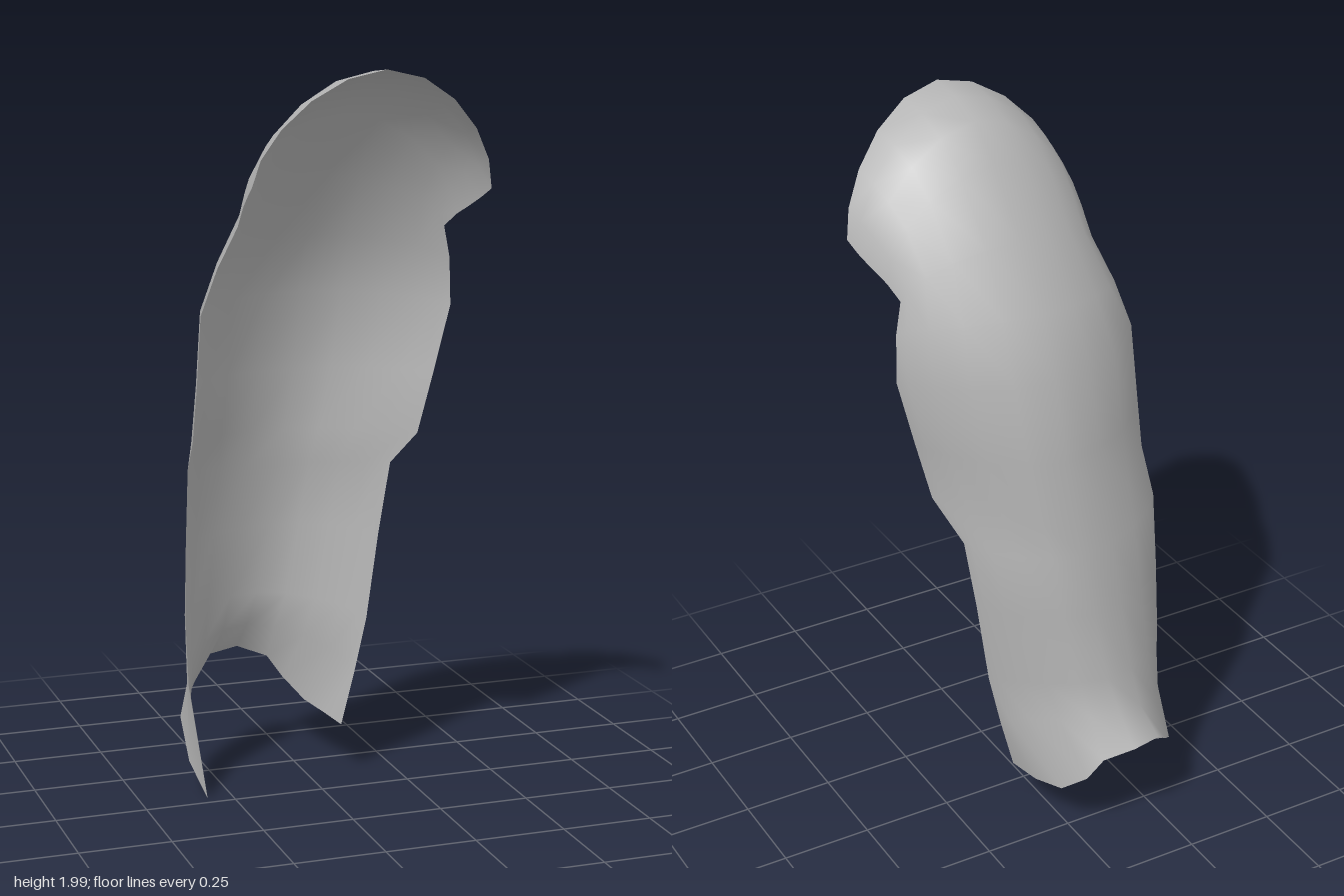
import * as THREE from 'three';

const SIDE = 5; // segments from the spine to each edge

// Rows from the hood rim down: right (-x) edge, spine, left (+x) edge
const ROWS = [
  [[-0.29, 1.71, 0.305], [0.03, 2.0, 0.4], [0.37, 1.68, 0.26]],
  [[-0.285, 1.68, 0.25], [0.03, 1.99, 0.3], [0.36, 1.655, 0.22]],
  [[-0.28, 1.65, 0.2], [0.02, 1.95, 0.21], [0.345, 1.63, 0.18]],
  [[-0.275, 1.62, 0.16], [0.02, 1.87, 0.12], [0.325, 1.6, 0.13]],
  [[-0.27, 1.59, 0.12], [0.01, 1.7, 0.0], [0.31, 1.565, 0.085]],
  [[-0.32, 1.48, 0.1], [0.0, 1.53, -0.1], [0.33, 1.48, 0.075]],
  [[-0.362, 1.36, 0.09], [0.0, 1.37, -0.17], [0.34, 1.35, 0.06]],
  [[-0.365, 1.17, 0.06], [-0.01, 1.15, -0.21], [0.3, 1.17, 0.045]],
  [[-0.375, 1.02, 0.05], [-0.03, 0.98, -0.23], [0.26, 1.0, 0.03]],
  [[-0.355, 0.92, -0.07], [-0.04, 0.88, -0.247], [0.22, 0.9, -0.07]],
  [[-0.36, 0.7, -0.08], [-0.06, 0.7, -0.275], [0.19, 0.7, -0.08]],
  [[-0.36, 0.5, -0.09], [-0.09, 0.5, -0.3], [0.16, 0.46, -0.09]],
  [[-0.35, 0.31, -0.1], [-0.11, 0.4, -0.335], [0.13, 0.31, -0.1]],
];

// Notched bottom edge, running from the long right tip to the left corner
const HEM = [
  [-0.32, 0.01, -0.03], [-0.345, 0.09, -0.12], [-0.335, 0.18, -0.24],
  [-0.27, 0.25, -0.32], [-0.21, 0.31, -0.375], [-0.12, 0.318, -0.4],
  [-0.04, 0.29, -0.37], [0.0, 0.23, -0.35], [0.045, 0.175, -0.29],
  [0.075, 0.16, -0.2], [0.09, 0.155, -0.1],
];

// U-shaped cross-section: rounder on the right side, flatter on the left
function section([right, spine, left]) {
  const points = [];
  for (let j = -SIDE; j <= SIDE; j++) {
    const t = (Math.abs(j) / SIDE) * Math.PI / 2;
    const edge = j < 0 ? right : left;
    const across = Math.sin(t);
    const round = 1 - Math.cos(t);
    const flat = Math.pow(across, 1.7);
    const mix = (k) => round + (flat - round) * k;
    points.push([
      spine[0] + (edge[0] - spine[0]) * across,
      spine[1] + (edge[1] - spine[1]) * mix(0.3),
      spine[2] + (edge[2] - spine[2]) * mix(j < 0 ? 0.25 : 0.75),
    ]);
  }
  return points;
}

// Skin a surface over a list of cross-sections
function loft(sections) {
  const n = sections[0].length;
  const index = [];
  for (let i = 0; i < sections.length - 1; i++) {
    for (let j = 0; j < n - 1; j++) {
      const a = i * n + j;
      const c = a + n;
      index.push(a, a + 1, c, a + 1, c + 1, c);
    }
  }
  const geometry = new THREE.BufferGeometry();
  geometry.setAttribute('position', new THREE.Float32BufferAttribute(sections.flat(2), 3));
  geometry.setIndex(index);
  geometry.computeVertexNormals();
  return geometry;
}

export function createModel() {
  const group = new THREE.Group();
  group.name = 'curvedShell';

  const grey = new THREE.MeshStandardMaterial({ color: 0xb4b4b4, side: THREE.DoubleSide });
  grey.name = 'plain grey';

  // Open curved shell with a hood at the top and a ragged hem
  const shell = new THREE.Mesh(loft([...ROWS.map(section), HEM]), grey);
  shell.name = 'shell';
  group.add(shell);
  return group;
}
